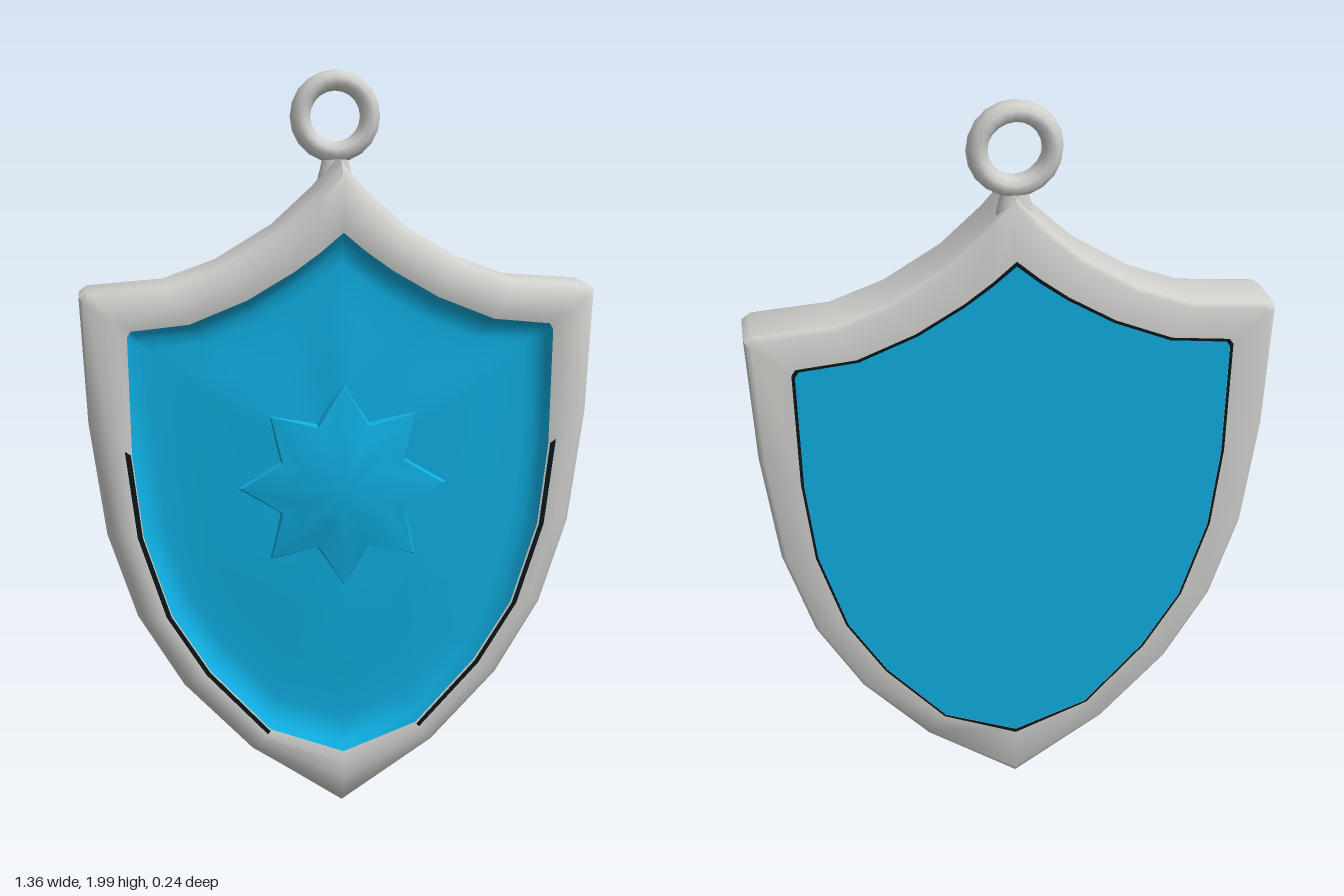
import * as THREE from 'three';
import { toCreasedNormals } from 'three/addons/utils/BufferGeometryUtils.js';

const grey = new THREE.MeshStandardMaterial({ color: 0xd0d0cd });
grey.name = 'silver grey';
const blue = new THREE.MeshStandardMaterial({ color: 0x0fade0 });
blue.name = 'enamel blue';
const dark = new THREE.MeshStandardMaterial({ color: 0x0a1719, side: THREE.DoubleSide });
dark.name = 'dark seam';

// Right halves of the shield outlines, top to bottom, matched point for point
const OUTER = [[0, 1.77], [0.06, 1.7], [0.17, 1.6], [0.32, 1.51], [0.46, 1.46], [0.66, 1.445], [0.68, 1.43],
  [0.665, 1.1], [0.625, 0.8], [0.55, 0.57], [0.43, 0.37], [0.25, 0.18], [0, 0.01]];
const INNER = [[0, 1.59], [0.06, 1.54], [0.13, 1.49], [0.25, 1.42], [0.4, 1.36], [0.55, 1.345], [0.56, 1.33],
  [0.555, 1.02], [0.53, 0.8], [0.46, 0.58], [0.36, 0.42], [0.2, 0.245], [0, 0.17]];
const CY = 0.92;

const mirror = (half) => [...half, ...half.slice(1, -1).reverse().map(([x, y]) => [-x, y])];
const outer = mirror(OUTER), inner = mirror(INNER);

// Loop between the outer (t = 0) and inner (t = 1) outline
const band = (t, z) => outer.map(([x, y], i) => [x + (inner[i][0] - x) * t, y + (inner[i][1] - y) * t, z]);

// Inner outline shrunk towards the middle, with optional soft radial folds
const shrink = (s, z, fold = 0) => inner.map(([x, y]) =>
  [x * s, CY + (y - CY) * s, z + fold * Math.cos(8 * Math.atan2(x, y - CY))]);

// Skin a stack of clockwise loops
function loft(loops, crease = 0.7, closed = true) {
  const n = loops[0].length, index = [];
  for (let j = 0; j < loops.length - 1; j++) {
    for (let i = 0; i < (closed ? n : n - 1); i++) {
      const k = (i + 1) % n, a = j * n + i, b = j * n + k;
      index.push(a, a + n, b, b, a + n, b + n);
    }
  }
  const g = new THREE.BufferGeometry();
  g.setAttribute('position', new THREE.Float32BufferAttribute(loops.flat(2), 3));
  g.setIndex(index);
  return toCreasedNormals(g, crease);
}

export function createModel() {
  const model = new THREE.Group();
  model.name = 'shieldPendant';
  const add = (name, geometry, material) => {
    const mesh = new THREE.Mesh(geometry, material);
    mesh.name = name;
    model.add(mesh);
    return mesh;
  };

  // Rounded frame, from the back inner edge round to the front inner edge
  add('frame', loft([
    band(1, -0.12), band(0.15, -0.12), band(0.04, -0.112), band(0, -0.095), band(0, 0.035),
    band(0.06, 0.055), band(0.2, 0.07), band(0.5, 0.083), band(0.8, 0.085), band(1, 0.08),
  ], 0.9), grey);

  // Recessed front panel and flat back panel
  add('frontPanel', loft([
    shrink(1, 0.08), shrink(0.975, 0.062), shrink(0.94, 0.047), shrink(0.88, 0.045),
    shrink(0.7, 0.054, 0.003), shrink(0.5, 0.064, 0.006), shrink(0.3, 0.07, 0.003), shrink(0, 0.072),
  ], 0.9), blue);
  add('backPanel', loft([shrink(0, -0.12), shrink(1, -0.12)]), blue);

  // Eight-pointed raised star with a low peak
  const star = (scale, tipZ, notchZ) => Array.from({ length: 16 }, (_, i) => {
    const a = i * Math.PI / 8, r = (i % 2 ? 0.175 : 0.27) * scale;
    return [r * Math.sin(a), CY + r * Math.cos(a), i % 2 ? notchZ : tipZ];
  });
  add('star', loft([
    star(1.06, 0.055, 0.055), star(1, 0.076, 0.088), star(0.6, 0.098, 0.099), star(0, 0.12, 0.12),
  ], 0.5), blue);

  // Dark seams: full outline behind, lower sides in front
  add('backSeam', loft([band(1, -0.1215), band(0.93, -0.1215)]), dark);
  for (const side of [1, -1]) {
    const strip = (t) => band(t, 0.0875).slice(7, 12).map(([x, y, z]) => [side * x, y, z]);
    add(side > 0 ? 'leftFrontSeam' : 'rightFrontSeam', loft([strip(0.83), strip(0.97)], 0.7, false), dark);
  }

  // Hanging ring and the short neck joining it to the peak
  const ring = add('hangingRing', new THREE.TorusGeometry(0.093, 0.027, 10, 20), grey);
  ring.scale.z = 1.25;
  ring.position.set(0, 1.88, -0.086);
  const neck = add('ringNeck', new THREE.CylinderGeometry(0.03, 0.05, 0.08, 10), grey);
  neck.scale.z = 0.68;
  neck.position.set(0, 1.75, -0.086);

  return model;
}
